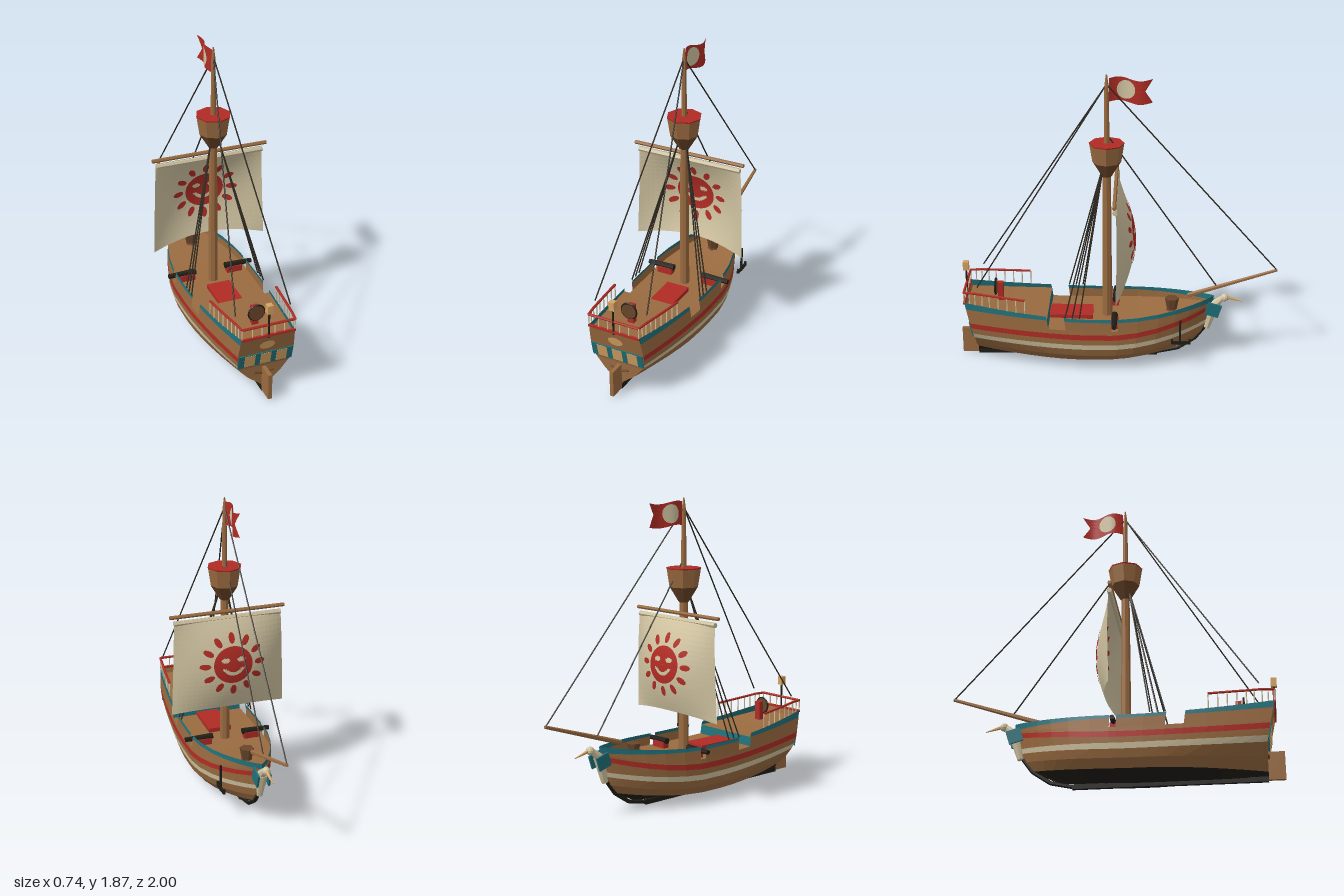
import * as THREE from 'three';
import { mergeGeometries } from 'three/addons/utils/BufferGeometryUtils.js';

const mat = (name, color) => new THREE.MeshStandardMaterial({ name, color, flatShading: true, side: THREE.DoubleSide });
const wood = mat('wood', 0x9a6b40), darkWood = mat('darkWood', 0x6a4529), red = mat('red', 0xb02c24),
  teal = mat('teal', 0x20707a), cream = mat('cream', 0xd0c3a0), black = mat('black', 0x1f1d17),
  tan = mat('tan', 0xd6a464), rope = mat('rope', 0x302a21);
const V = (x, y, z) => new THREE.Vector3(x, y, z);
const lerp = THREE.MathUtils.lerp;

// Hull rows: [mid y, stern y, bow y, mid half width, stern half width, stem z]
const ROWS = [
  [.02, .02, .04, 0, 0, -.33], [.055, .055, .12, .185, .02, -.49], [.105, .12, .18, .225, .1, -.54],
  [.155, .19, .235, .24, .155, -.56], [.19, .225, .265, .245, .17, -.57], [.225, .265, .335, .246, .175, -.585],
  [.26, .3, .365, .245, .176, -.59], [.287, .335, .375, .243, .174, -.595], [.345, .395, .387, .24, .17, -.6],
  [.365, .44, .425, .236, .165, -.605],
];
const ZS = [.95, .88, .79, .68, .57, .44, .33, .2, .04, 0, -.12, -.25, -.36, -.45, -.52, -.57, -.59, -.6];
const sternZ = y => .9 + Math.max(0, y - .18) * .2157;

function hullPoint(row, z, side = 1) {
  const [ym, ys, yb, wm, ws, zb] = ROWS[row];
  const y = z > .1 ? lerp(ym, ys, ((z - .1) / .85) ** 1.8) : lerp(ym, yb, ((.1 - z) / .7) ** 1.8);
  const aft = Math.max(0, (z - .2) / .75) ** 1.6;
  const bow = Math.sin(Math.PI / 2 * Math.min(1, Math.max(0, z + .6) / .65) ** .85);
  return V(side * lerp(wm, ws, aft) * bow, y, lerp(zb, sternZ(ys), (z + .6) / 1.55));
}

// Quad strip between two lists of points
function strip(a, b) {
  const pos = [], idx = [];
  a.forEach((p, i) => pos.push(...p.toArray(), ...b[i].toArray()));
  for (let i = 0; i < a.length - 1; i++) { const k = 2 * i; idx.push(k, k + 1, k + 2, k + 1, k + 3, k + 2); }
  const g = new THREE.BufferGeometry();
  g.setAttribute('position', new THREE.Float32BufferAttribute(pos, 3));
  g.setIndex(idx);
  g.computeVertexNormals();
  return g;
}

// Round bar from point a to point b
function bar(a, b, r0, r1 = r0, sides = 6) {
  const d = b.clone().sub(a), g = new THREE.CylinderGeometry(r1, r0, d.length(), sides);
  g.applyQuaternion(new THREE.Quaternion().setFromUnitVectors(V(0, 1, 0), d.normalize()));
  return g.translate((a.x + b.x) / 2, (a.y + b.y) / 2, (a.z + b.z) / 2);
}

const box = (w, h, d, x, y, z) => new THREE.BoxGeometry(w, h, d).translate(x, y, z);

// Billowing sail surface, bulging towards the bow
function sailPoint(x, y) {
  const v = Math.min(1, Math.max(0, (1.145 - y) / .6));
  return .01 - .115 * (1 - (x / .37) ** 2) * Math.sin(Math.PI * .83 * v ** .9);
}

function bend(g, fn) {
  const p = g.attributes.position;
  for (let i = 0; i < p.count; i++) p.setXYZ(i, ...fn(p.getX(i), p.getY(i)));
  g.computeVertexNormals();
  return g;
}

export function createModel() {
  const ship = new THREE.Group();
  ship.name = 'sailingShip';
  const add = (name, material, ...geos) => {
    const m = new THREE.Mesh(geos.length > 1 ? mergeGeometries(geos) : geos[0], material);
    m.name = name;
    ship.add(m);
  };

  // Hull planking, one band per pair of rows; bulwarks leave two openings per side
  const bands = [['bottom', black], ['lowerPlanks', wood], ['bilgePlanks', wood], ['creamStripe', cream],
    ['middlePlanks', wood], ['redStripe', red], ['upperPlanks', wood], ['bulwark', wood], ['bulwarkRim', teal]];
  bands.forEach(([name, m], r) => {
    const runs = r >= 7 ? [[0, 5], [6, 8], [9, 17]] : [[0, 17]];
    const parts = [];
    for (const s of [1, -1]) for (const [i, j] of runs) {
      const zs = ZS.slice(i, j + 1);
      parts.push(strip(zs.map(z => hullPoint(r, z, s)), zs.map(z => hullPoint(r + 1, z, s))));
    }
    add(name, m, ...parts);
  });
  const across = (row, zs) => strip(zs.map(z => hullPoint(row, z)), zs.map(z => hullPoint(row, z, -1)));
  add('mainDeck', wood, across(7, ZS.slice(5)));
  add('quarterDeck', wood, across(8, ZS.slice(0, 6)));
  add('deckBulkhead', teal, strip([hullPoint(7, .44), hullPoint(8, .44)], [hullPoint(7, .44, -1), hullPoint(8, .44, -1)]));
  const rowIds = ROWS.map((_, i) => i);
  add('transom', wood, strip(rowIds.map(r => hullPoint(r, .95)), rowIds.map(r => hullPoint(r, .95, -1))));

  // Keel, stem and rudder
  add('keel', black, box(.022, .03, 1.15, 0, .015, .325));
  const stem = [V(0, .015, -.24), V(0, .045, -.38), V(0, .12, -.49), V(0, .2, -.548)];
  add('stem', black, ...stem.slice(1).map((p, i) => bar(stem[i], p, .013)));
  add('rudder', wood, box(.024, .17, .1, 0, .095, .95));

  // Stern windows, shell ornament and trim lying on the raked transom
  const plate = (g, x, y) => g.rotateX(.212).translate(x, y, sternZ(y) + .004);
  const wins = [-.1, 0, .1];
  add('windowBand', teal, plate(new THREE.BoxGeometry(.342, .095, .006), 0, .255));
  add('sternWindows', tan, ...wins.map(x => plate(new THREE.BoxGeometry(.066, .085, .0095), x, .255)));
  add('shellOrnament', tan, plate(new THREE.CircleGeometry(.05, 9).scale(1, .65, 1), 0, .36));
  add('transomTrim', red, box(.335, .014, .014, 0, .436, .957));
  add('counterTrim', darkWood, ...[1, -1].map(s => bar(V(0, .135, .905), V(s * .06, .15, .905), .006)));

  // Quarterdeck railing
  const railZ = [.57, .68, .79, .88, .95];
  const rails = [], posts = [];
  for (const s of [1, -1]) {
    const low = railZ.map(z => hullPoint(9, z, s));
    const top = low.map((p, i) => V(p.x, lerp(.482, .508, Math.min(1, i / 3)), p.z));
    for (let i = 0; i < 4; i++) {
      rails.push(bar(top[i], top[i + 1], .008));
      for (const f of [0, .5]) posts.push(bar(low[i].clone().lerp(low[i + 1], f), top[i].clone().lerp(top[i + 1], f), .004));
    }
    posts.push(bar(low[4], top[4], .004));
  }
  for (const x of [-.1, -.04, .04, .1]) posts.push(bar(V(x, .44, .955), V(x, .508, .955), .004));
  rails.push(bar(V(-.165, .508, .956), V(.165, .508, .956), .008));
  add('railing', red, ...rails);
  add('balusters', cream, ...posts);

  // Stern lantern
  add('lanternPost', black, bar(V(0, .42, .958), V(0, .595, .958), .006));
  add('lantern', tan, box(.036, .055, .036, 0, .618, .958));

  // Steering wheel on its stand
  add('wheelStand', red, box(.04, .12, .035, 0, .445, .745));
  add('wheelDisc', darkWood, new THREE.CylinderGeometry(.048, .048, .012, 12).rotateX(Math.PI / 2).translate(0, .475, .775));
  add('wheelRim', black, new THREE.TorusGeometry(.05, .006, 5, 16).translate(0, .475, .775));

  // Deck fittings
  add('hatch', red, box(.15, .03, .28, 0, .3, .3));
  add('capstan', darkWood, new THREE.CylinderGeometry(.045, .03, .08, 6).translate(0, .365, -.34),
    new THREE.CylinderGeometry(.03, .045, .03, 6).translate(0, .32, -.34));
  for (const s of [1, -1]) {
    add('gunCarriage', red, box(.1, .045, .045, s * .16, .307, .02));
    add('gunBarrel', black, bar(V(s * .1, .336, .02), V(s * .28, .336, .02), .02, .015, 8));
  }

  // Anchor hung on one bow
  add('anchor', black, box(.012, .17, .012, .185, .255, -.39), box(.014, .018, .115, .185, .185, -.395),
    ...[-.34, -.45].map(z => box(.014, .03, .012, .185, .192, z)));

  // Bird figurehead
  add('birdBody', cream, bar(V(0, .2, -.565), V(0, .36, -.605), .02, .036, 8), bar(V(0, .36, -.605), V(0, .415, -.665), .03, .016, 8),
    new THREE.SphereGeometry(.026, 10, 7).translate(0, .412, -.672));
  add('birdBeak', tan, bar(V(0, .412, -.69), V(0, .385, -.785), .012, .003));
  for (const s of [1, -1]) add('birdWing', teal, new THREE.BoxGeometry(.012, .085, .09).rotateX(-.3).translate(s * .037, .34, -.6));

  // Bowsprit and mast
  add('bowsprit', wood, bar(V(0, .425, -.44), V(0, .608, -.995), .016, .01));
  add('mast', wood, bar(V(0, .28, .07), V(0, 1.26, .07), .032, .025, 8), bar(V(0, 1.26, .07), V(0, 1.8, .07), .02, .013, 8),
    bar(V(0, 1.8, .07), V(0, 1.87, .07), .013, .004, 8));

  // Lookout basket
  add('basketSides', wood, new THREE.CylinderGeometry(.106, .088, .115, 8, 1, true).translate(0, 1.382, .07));
  add('basketBase', darkWood, new THREE.CylinderGeometry(.088, .03, .095, 8).translate(0, 1.277, .07));
  add('basketTop', red, new THREE.CylinderGeometry(.108, .106, .008, 8).translate(0, 1.44, .07));

  // Yard and sail
  add('yard', wood, bar(V(-.37, 1.168, .015), V(.37, 1.168, .015), .012));
  add('furledEdge', cream, bar(V(-.345, 1.128, .012), V(.345, 1.128, .012), .016));
  add('sail', cream, bend(new THREE.PlaneGeometry(2, 1, 24, 20), (u, h) => {
    const v = .5 - h, x = u * lerp(.345, .367, v);
    const y = lerp(1.145, .528 + .037 * (1 - u * u), v);
    return [x, y, sailPoint(x, y)];
  }));

  // Smiling sun painted on both faces of the sail
  const inFace = (x, y) => Math.hypot((Math.abs(x) - .05) / .026, (y - .035) / .017) < 1
    || (y < -.02 && Math.abs(Math.hypot(x, y - .01) - .068) < .011);
  const disc = new THREE.RingGeometry(.001, .125, 48, 16);
  const p = disc.attributes.position, src = disc.index.array, kept = [];
  for (let i = 0; i < src.length; i += 3) {
    const t = [src[i], src[i + 1], src[i + 2]];
    const mean = f => t.reduce((a, k) => a + f(k) / 3, 0);
    if (!inFace(mean(k => p.getX(k)), mean(k => p.getY(k)))) kept.push(...t);
  }
  disc.setIndex(kept);
  const rays = Array.from({ length: 12 }, (_, i) =>
    new THREE.RingGeometry(.001, 1, 10, 3).scale(.036, .02, 1).translate(.176, 0, 0).rotateZ(i * Math.PI / 6));
  for (const off of [.005, -.005]) {
    add('sunEmblem', red, bend(mergeGeometries([disc, ...rays]), (x, y) => {
      const Y = .857 + y * .93;
      return [x, Y, sailPoint(x, Y) + off];
    }));
  }

  // Swallow-tailed flag with a round patch
  const wave = z => .018 * Math.sin((z - .055) * 24);
  add('flag', red, bend(new THREE.PlaneGeometry(1, 1, 14, 6), (a, h) => {
    const u = a + .5;
    const z = .055 - u * (.215 + .045 * Math.abs(h) * 2);
    return [wave(z), 1.775 + h * .145 + .008 * Math.sin(u * 7) - .008 * u, z];
  }));
  for (const off of [.004, -.004]) {
    add('flagPatch', cream, bend(new THREE.RingGeometry(.001, .055, 20, 5),
      (a, h) => [wave(a - .045) + off, 1.777 + h * 1.05, a - .045]));
  }

  // Rigging
  const lines = [[V(0, 1.81, .07), V(0, .61, -.99)], [V(0, 1.47, .05), V(0, .49, -.62)]];
  for (const s of [1, -1]) {
    lines.push([V(0, 1.81, .07), V(s * .172, .55, .87)]);
    for (const z of [.235, .28, .325]) lines.push([V(s * .02, 1.3, .09), V(s * .238, .375, z)]);
  }
  add('rigging', rope, ...lines.map(([a, b]) => bar(a, b, .0045, .0045, 5)));

  return ship;
}
